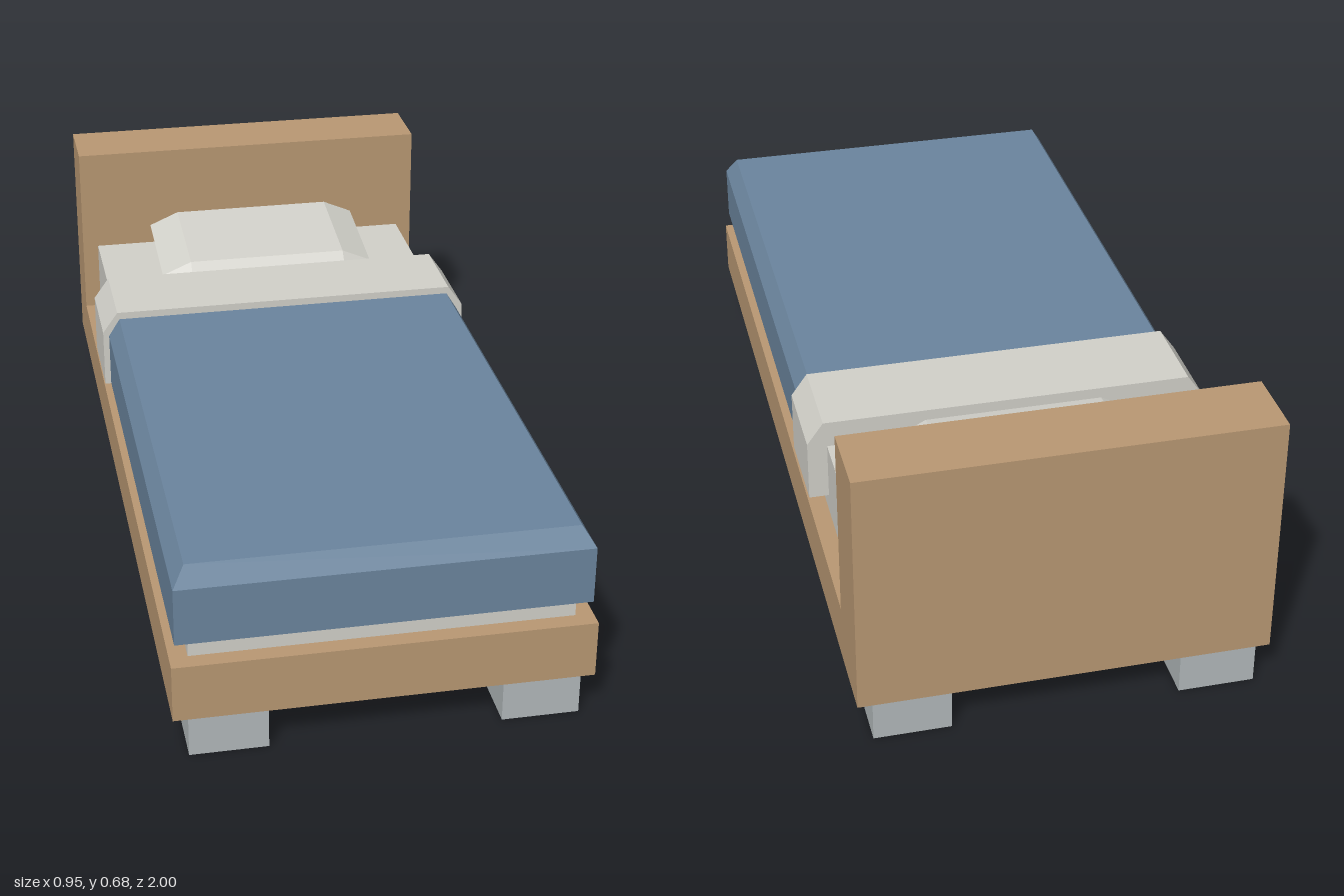
import * as THREE from 'three';
import { ConvexGeometry } from 'three/addons/geometries/ConvexGeometry.js';

const mat = (name, color) => {
  const m = new THREE.MeshStandardMaterial({ color });
  m.name = name;
  return m;
};

export function createModel() {
  const wood = mat('wood', 0xb99873);
  const blue = mat('blanketBlue', 0x6b859e);
  const linen = mat('linen', 0xd2d1ca);
  const metal = mat('legGrey', 0xb2b9bb);
  const bed = new THREE.Group();
  bed.name = 'bed';

  const add = (name, geometry, material) => {
    const mesh = new THREE.Mesh(geometry, material);
    mesh.name = name;
    bed.add(mesh);
    return mesh;
  };
  // Box given by its limits on each axis
  const box = (name, [x0, x1], [y0, y1], [z0, z1], material) =>
    add(name, new THREE.BoxGeometry(x1 - x0, y1 - y0, z1 - z0)
      .translate((x0 + x1) / 2, (y0 + y1) / 2, (z0 + z1) / 2), material);
  // Faceted solid through stacked rectangles: [half width, y, back z, front z]
  const stack = (rects) => new ConvexGeometry(rects.flatMap(([w, y, z0, z1]) =>
    [-w, w].flatMap((x) => [z0, z1].map((z) => new THREE.Vector3(x, y, z)))));

  // Frame and headboard in one L-shaped side profile
  const profile = new THREE.Shape([
    [-1, 0.093], [1, 0.093], [1, 0.228], [-0.825, 0.228], [-0.825, 0.68], [-1, 0.68],
  ].map(([z, y]) => new THREE.Vector2(z, y)));
  add('frame', new THREE.ExtrudeGeometry(profile, { depth: 0.936, bevelEnabled: false })
    .translate(0, 0, -0.468).rotateY(-Math.PI / 2), wood);

  // Legs
  for (const [side, x] of [['left', [0.26, 0.435]], ['right', [-0.435, -0.26]]]) {
    box(side + 'FrontLeg', x, [0, 0.093], [0.87, 1], metal);
    box(side + 'BackLeg', x, [0, 0.093], [-1, -0.825], metal);
  }

  // Mattress
  box('mattress', [-0.427, 0.427], [0.228, 0.41], [-0.825, 0.96], linen);

  // Blanket with chamfered sides and foot end
  add('blanket', stack([
    [0.458, 0.275, -0.25, 0.985], [0.458, 0.41, -0.25, 0.985], [0.43, 0.455, -0.25, 0.957],
  ]), blue);

  // Folded sheet band
  add('sheetFold', stack([
    [0.473, 0.274, -0.46, -0.243], [0.473, 0.42, -0.46, -0.243], [0.435, 0.473, -0.46, -0.243],
  ]), linen);

  // Pillow: flat top and bottom, pointed rim, tilted against the headboard
  const pillow = add('pillow', stack([
    [0.207, 0.035, -0.134, 0.134], [0.207, -0.035, -0.134, 0.134],
    [0.283, 0, -0.134, 0.134], [0.207, 0, -0.178, 0.178],
  ]), linen);
  pillow.position.set(0, 0.463, -0.647);
  pillow.rotation.x = 0.13;

  return bed;
}
